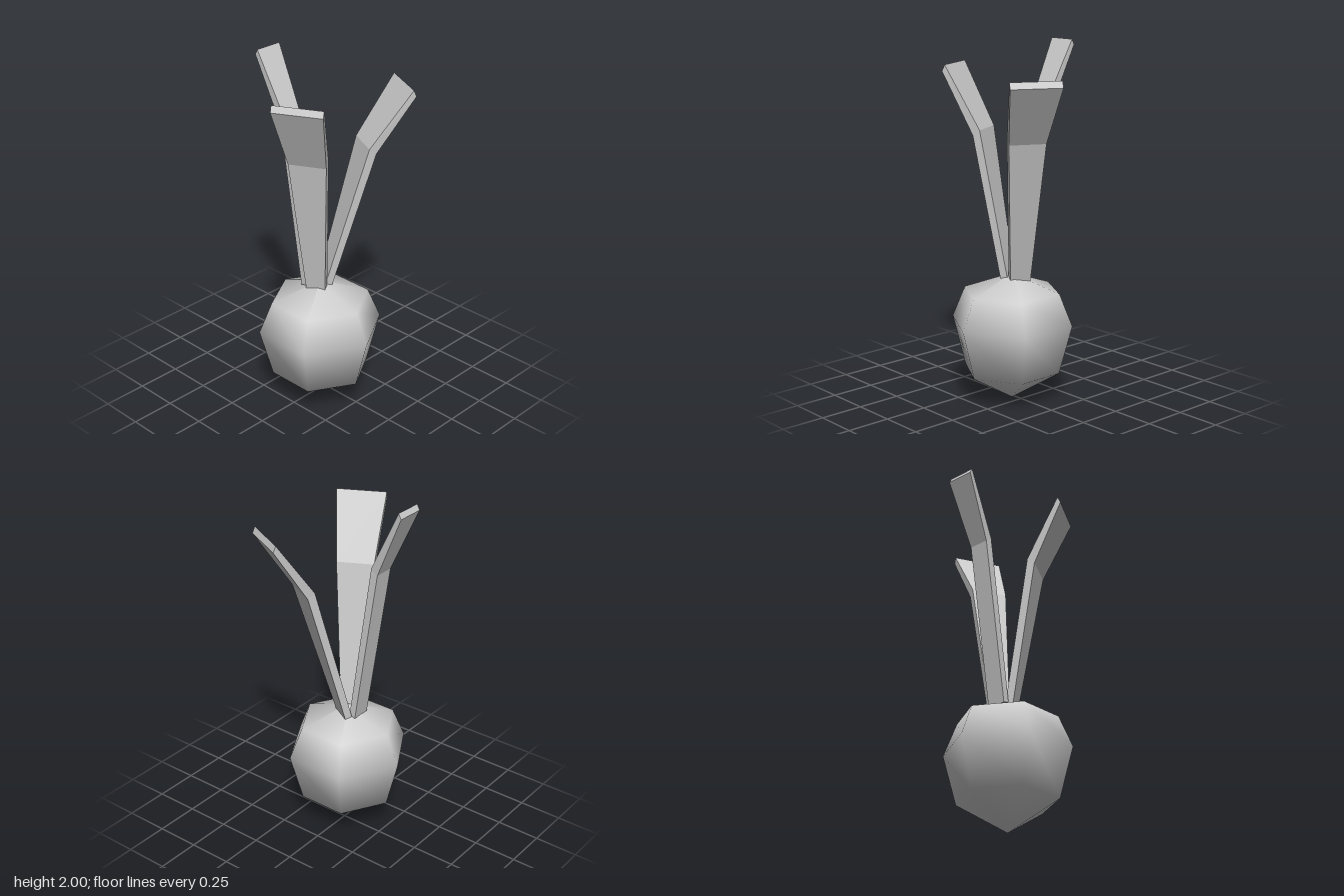
import * as THREE from 'three';

const material = new THREE.MeshStandardMaterial({ color: 0xcccccc });
const leafMaterial = new THREE.MeshStandardMaterial({ color: 0xcccccc, flatShading: true });

// Six-sided bulb, corner towards +x
function makeBulb() {
  const profile = [[0, 0], [0.278, 0.17], [0.352, 0.45], [0.278, 0.627], [0, 0.728]]
    .map(([r, y]) => new THREE.Vector2(r, y));
  const bulb = new THREE.Mesh(new THREE.LatheGeometry(profile, 6, Math.PI / 2), material);
  bulb.name = 'bulb';
  bulb.position.set(0.02, 0, 0.055);
  return bulb;
}

// Bent slab leaning towards local +x.
// Section: [inner x, inner y, outer x, outer y, half width, sideways shift]
function makeLeaf(name, x, z, angle, sections) {
  const positions = [];
  const index = [];
  for (const [xi, yi, xo, yo, half, shift] of sections) {
    positions.push(
      xi, yi, shift - half, xi, yi, shift + half,
      xo, yo, shift + half, xo, yo, shift - half);
  }
  const quad = (a, b, c, d) => index.push(a, b, c, a, c, d);
  for (let s = 0; s < sections.length - 1; s++) {
    for (let i = 0; i < 4; i++) {
      const a = s * 4 + i, b = s * 4 + (i + 1) % 4;
      quad(a, b, b + 4, a + 4);
    }
  }
  const top = (sections.length - 1) * 4;
  quad(3, 2, 1, 0);
  quad(top, top + 1, top + 2, top + 3);

  let geometry = new THREE.BufferGeometry();
  geometry.setAttribute('position', new THREE.Float32BufferAttribute(positions, 3));
  geometry.setIndex(index);
  geometry = geometry.toNonIndexed();
  geometry.computeVertexNormals();

  const leaf = new THREE.Mesh(geometry, leafMaterial);
  leaf.name = name;
  leaf.position.set(x, 0, z);
  leaf.rotation.y = angle;
  return leaf;
}

export function createModel() {
  const model = new THREE.Group();
  model.name = 'rootVegetable';
  model.add(makeBulb());

  // Narrow, tall leaf on the right
  model.add(makeLeaf('rightLeaf', -0.033, 0.057, Math.PI, [
    [0, 0.70, 0.037, 0.69, 0.055, 0],
    [0.142, 1.64, 0.182, 1.61, 0.058, 0],
    [0.324, 2.0, 0.34, 1.97, 0.08, 0],
  ]));
  // Wide leaf at the front
  model.add(makeLeaf('frontLeaf', 0.0135, 0.0675, -1.098, [
    [0, 0.70, 0.04, 0.69, 0.054, 0],
    [0.14, 1.53, 0.18, 1.50, 0.104, 0],
    [0.326, 1.88, 0.342, 1.845, 0.138, 0],
  ]));
  // Wide leaf at the back, leaning further out
  model.add(makeLeaf('backLeaf', -0.0025, 0.0225, 1.103, [
    [0, 0.70, 0.04, 0.69, 0.057, 0],
    [0.226, 1.52, 0.266, 1.49, 0.102, 0.022],
    [0.45, 1.84, 0.465, 1.805, 0.14, 0.03],
  ]));
  return model;
}
